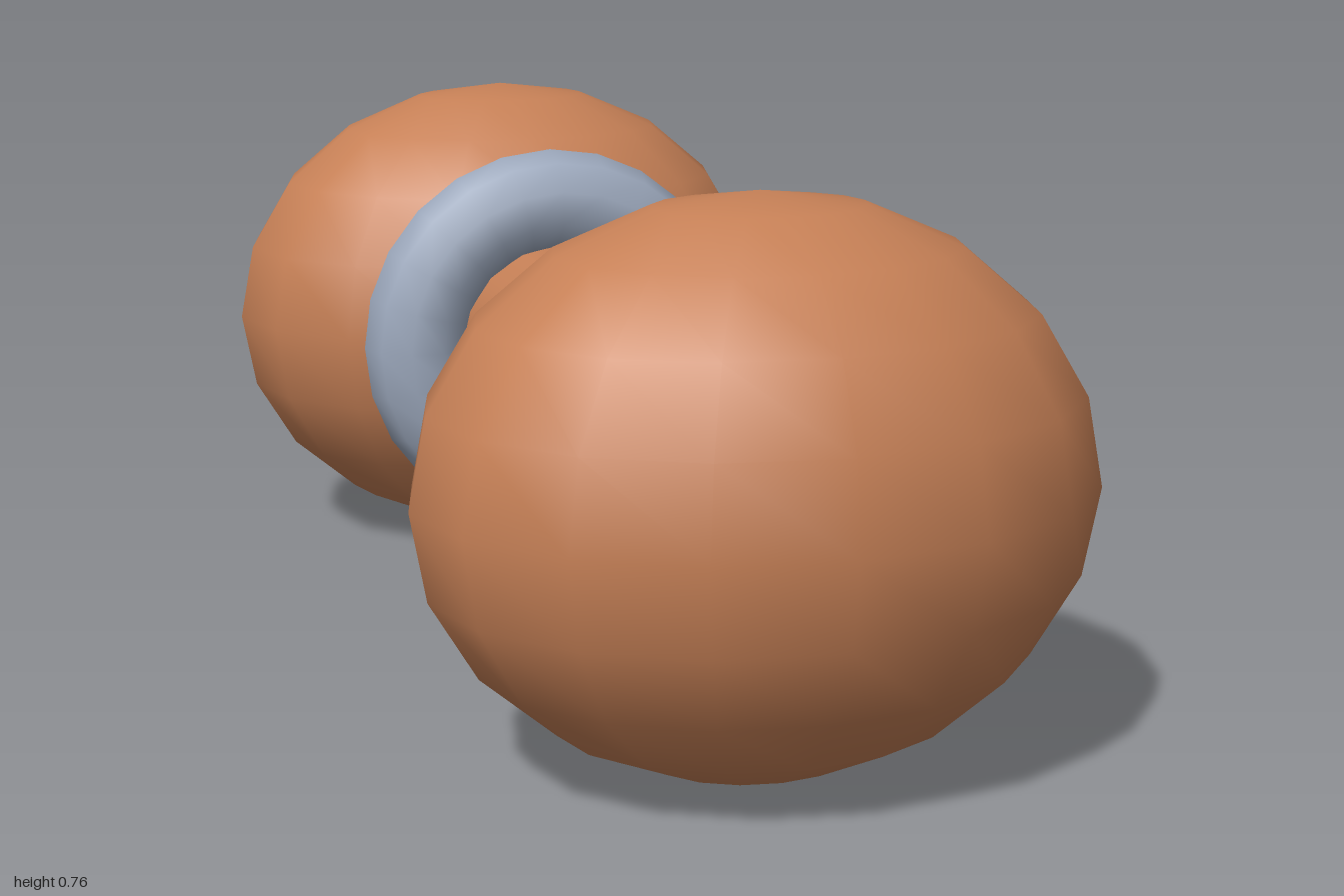
import * as THREE from 'three';

const CENTRE_Y = 0.382;

export function createModel() {
  const group = new THREE.Group();
  const clay = new THREE.MeshStandardMaterial({ color: 0xc68056 });
  const steel = new THREE.MeshStandardMaterial({ color: 0x9ca8bc });

  const add = (name, geometry, material, z) => {
    const mesh = new THREE.Mesh(geometry, material);
    mesh.name = name;
    mesh.position.set(0, CENTRE_Y, z);
    group.add(mesh);
  };

  // Round bar running front to back
  add('handle', new THREE.CylinderGeometry(0.16, 0.16, 1.1, 16).rotateX(Math.PI / 2), clay, 0);

  // Flattened ball, wider than tall, and a collar ring at each end
  const ball = new THREE.SphereGeometry(1, 16, 10).scale(0.455, 0.382, 0.353);
  const ring = new THREE.TorusGeometry(0.223, 0.085, 10, 24);
  for (const [side, s] of [['front', 1], ['back', -1]]) {
    add(side + 'Ball', ball, clay, s * 0.647);
    add(side + 'Collar', ring, steel, s * 0.331);
  }
  return group;
}
